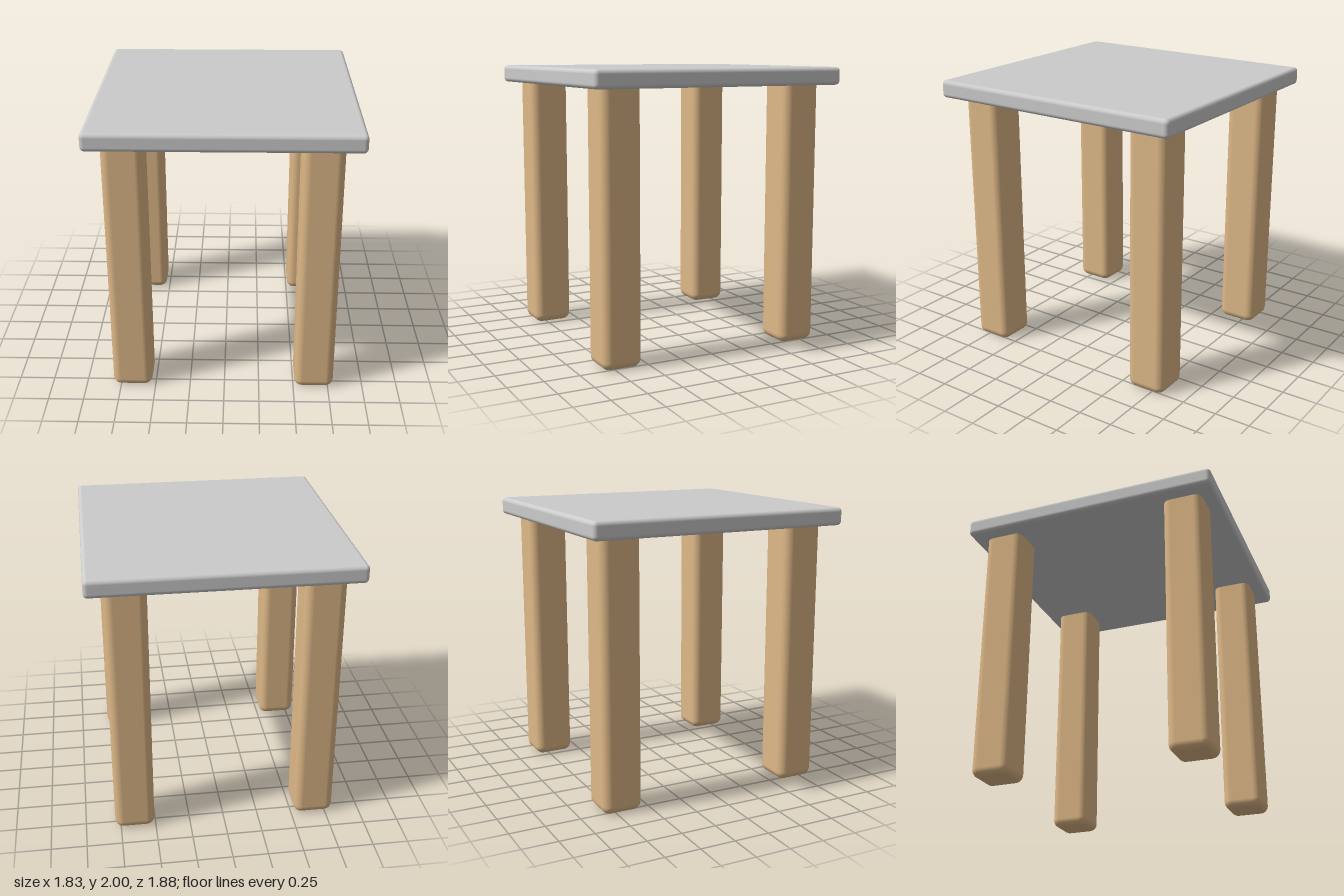
import * as THREE from 'three';
import { RoundedBoxGeometry } from 'three/addons/geometries/RoundedBoxGeometry.js';

export function createModel() {
  const model = new THREE.Group();
  model.name = 'table';
  const grey = new THREE.MeshStandardMaterial({ color: 0xcccccc });
  const wood = new THREE.MeshStandardMaterial({ color: 0xdeb887 });

  // Slab with softly rounded edges
  const top = new THREE.Mesh(new RoundedBoxGeometry(1.826, 0.125, 1.88, 5, 0.03), grey);
  top.name = 'tableTop';
  top.position.y = 1.9375;
  model.add(top);

  // Rounded square legs, their upper ends sunk into the slab
  const legHeight = 1.96;
  const legGeometry = new RoundedBoxGeometry(0.282, legHeight, 0.286, 6, 0.058);
  for (const [side, x] of [['Right', -0.664], ['Left', 0.648]]) {
    for (const [end, z] of [['front', 0.697], ['back', -0.703]]) {
      const leg = new THREE.Mesh(legGeometry, wood);
      leg.name = `${end}${side}Leg`;
      leg.position.set(x, legHeight / 2, z);
      model.add(leg);
    }
  }
  return model;
}
